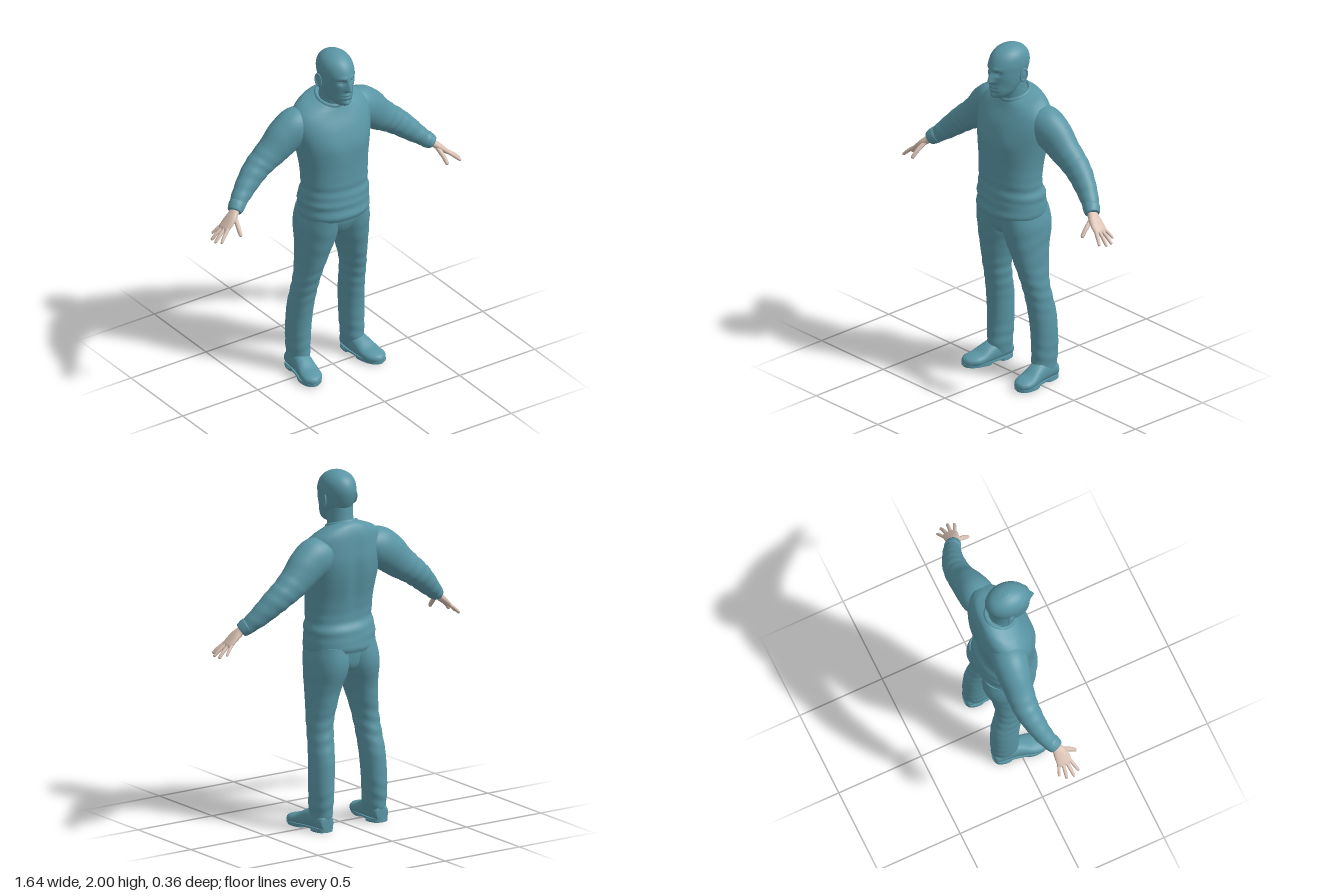
import * as THREE from 'three';

const V = (x, y, z) => new THREE.Vector3(x, y, z);
const Y = V(0, 1, 0), Z = V(0, 0, 1);
const bump = (d, w) => Math.exp(-(d * d) / (w * w));

// Smooth skin over elliptical rings; rows are [x, y, z, half width, half depth].
function loft(rows, { segs = 40, sub = 6, axis = null, up = Z, square = 1, fold = null } = {}) {
  const path = new THREE.CatmullRomCurve3(rows.map(r => V(r[0], r[1], r[2])), false, 'catmullrom');
  const size = new THREE.CatmullRomCurve3(rows.map(r => V(r[3], r[4], 0)), false, 'catmullrom');
  const n = (rows.length - 1) * sub, pos = [], idx = [];
  const soft = c => Math.sign(c) * Math.abs(c) ** square;
  for (let i = 0; i <= n; i++) {
    const c = path.getPoint(i / n), s = size.getPoint(i / n);
    const t = axis || path.getTangent(i / n);
    const v = up.clone().addScaledVector(t, -up.dot(t)).normalize();
    const u = t.clone().cross(v);
    for (let j = 0; j < segs; j++) {
      const a = j / segs * Math.PI * 2, k = fold ? fold(c, a) : 1;
      const p = c.clone().addScaledVector(u, soft(Math.cos(a)) * s.x * k)
        .addScaledVector(v, soft(Math.sin(a)) * s.y * k);
      pos.push(p.x, p.y, p.z);
    }
  }
  for (let i = 0; i < n; i++) for (let j = 0; j < segs; j++) {
    const a = i * segs + j, b = i * segs + (j + 1) % segs;
    idx.push(a, a + segs, b, a + segs, b + segs, b);
  }
  // end caps with their own corners, so the rims stay crisp
  for (const [row, top] of [[0, false], [n, true]]) {
    const c = path.getPoint(row / n), start = pos.length / 3;
    pos.push(c.x, c.y, c.z, ...pos.slice(row * segs * 3, (row + 1) * segs * 3));
    for (let j = 0; j < segs; j++) {
      const a = start + 1 + j, b = start + 1 + (j + 1) % segs;
      idx.push(start, top ? b : a, top ? a : b);
    }
  }
  const g = new THREE.BufferGeometry();
  g.setAttribute('position', new THREE.Float32BufferAttribute(pos, 3));
  g.setIndex(idx);
  g.computeVertexNormals();
  return g;
}

// Row from its extents: height, inner x, outer x, back z, front z.
const slab = ([y, x0, x1, z0, z1]) => [(x0 + x1) / 2, y, (z0 + z1) / 2, (x1 - x0) / 2, (z1 - z0) / 2];
const centred = ([y, w, z0, z1]) => slab([y, -w, w, z0, z1]);

// Move every vertex by a rule.
function sculpt(g, rule) {
  const p = g.attributes.position, v = V();
  for (let i = 0; i < p.count; i++) {
    rule(v.fromBufferAttribute(p, i));
    p.setXYZ(i, v.x, v.y, v.z);
  }
  g.computeVertexNormals();
  return g;
}

function mirrored(g) {
  const m = g.clone().scale(-1, 1, 1);
  if (!m.index) m.setIndex([...Array(m.attributes.position.count).keys()]);
  const a = m.index.array;
  for (let i = 0; i < a.length; i += 3) [a[i], a[i + 1]] = [a[i + 1], a[i]];
  return m;
}

export function createModel() {
  const model = new THREE.Group();
  const teal = new THREE.MeshStandardMaterial({ color: 0x5a96a5 });
  teal.name = 'teal';
  const skin = new THREE.MeshStandardMaterial({ color: 0xd9c1b3 });
  skin.name = 'skin';
  const add = (name, g, mat = teal) => {
    const m = new THREE.Mesh(g, mat);
    m.name = name;
    model.add(m);
  };
  const pair = (name, g, mat) => {
    add(name + 'Left', g, mat);
    add(name + 'Right', mirrored(g), mat);
  };

  // head: skull with brow, sockets, nose, lips and chin pushed out of the face
  const head = loft([
    [1.7, 0.022, 0.05, 0.115], [1.712, 0.042, 0.015, 0.14], [1.74, 0.063, -0.02, 0.148], [1.78, 0.078, -0.06, 0.15],
    [1.82, 0.087, -0.085, 0.152], [1.86, 0.091, -0.1, 0.155], [1.9, 0.094, -0.106, 0.152],
    [1.94, 0.088, -0.096, 0.134], [1.97, 0.07, -0.073, 0.106], [1.99, 0.042, -0.037, 0.067],
    [1.999, 0.012, 0, 0.03],
  ].map(centred), { segs: 112, sub: 8, axis: Y });
  add('head', sculpt(head, v => {
    if (v.z < 0.06) return;
    const ax = Math.abs(v.x), y = v.y;
    const ridge = THREE.MathUtils.clamp((1.885 - y) / 0.07, 0, 1) * THREE.MathUtils.smoothstep(y, 1.796, 1.812);
    v.z += 0.032 * ridge * bump(v.x, 0.011 + 0.007 * ridge)
      + 0.006 * bump(ax - 0.028, 0.026) * bump(y - 1.886, 0.011)
      - 0.015 * bump(ax - 0.034, 0.017) * bump(y - 1.862, 0.014)
      + 0.007 * bump(v.x, 0.026) * (bump(y - 1.777, 0.008) + bump(y - 1.76, 0.008))
      - 0.005 * bump(v.x, 0.03) * bump(y - 1.769, 0.004)
      - 0.004 * bump(v.x, 0.03) * bump(y - 1.745, 0.008)
      + 0.006 * bump(v.x, 0.022) * bump(y - 1.722, 0.014)
      - 0.005 * bump(ax - 0.06, 0.02) * bump(y - 1.79, 0.03);
  }));
  pair('eye', new THREE.SphereGeometry(0.013, 20, 14).translate(0.034, 1.862, 0.122));
  pair('ear', new THREE.SphereGeometry(1, 20, 16).scale(0.008, 0.036, 0.02)
    .rotateY(-0.35).rotateX(-0.15).translate(0.094, 1.835, 0.005));
  pair('earRim', new THREE.TorusGeometry(0.02, 0.005, 8, 28).rotateY(Math.PI / 2).scale(1, 1.65, 0.95)
    .rotateY(-0.4).rotateX(-0.15).translate(0.098, 1.837, 0.002));
  add('neck', loft([
    [1.6, 0.085, -0.11, 0.06], [1.66, 0.076, -0.1, 0.063], [1.71, 0.072, -0.088, 0.068],
    [1.76, 0.072, -0.08, 0.075], [1.82, 0.07, -0.075, 0.06],
  ].map(centred), { axis: Y }));

  // sweater body, with gathered folds above the hem and a neckline sloping forward
  const body = loft([
    [0.997, 0.2, -0.163, 0.168], [1.025, 0.207, -0.171, 0.177], [1.07, 0.204, -0.164, 0.168],
    [1.11, 0.206, -0.16, 0.168], [1.17, 0.195, -0.136, 0.158], [1.22, 0.196, -0.134, 0.158],
    [1.3, 0.2, -0.145, 0.157], [1.38, 0.211, -0.162, 0.158], [1.45, 0.224, -0.173, 0.153],
    [1.52, 0.238, -0.176, 0.135], [1.58, 0.24, -0.17, 0.112], [1.63, 0.222, -0.16, 0.092],
    [1.665, 0.175, -0.143, 0.077], [1.685, 0.125, -0.125, 0.068], [1.7, 0.084, -0.105, 0.06],
  ].map(centred), {
    segs: 80, axis: Y, square: 0.92,
    fold: (c, a) => 1 + 0.014 * bump(c.y - 1.13, 0.08) * Math.sin(c.y * 95 + 1.6 * Math.cos(a + 0.6)),
  });
  add('sweaterBody', sculpt(body, v => {
    if (v.z < 0) v.z += 0.014 * bump(v.x, 0.035) * bump(v.y - 1.42, 0.16);
    else v.z += 0.006 * bump(Math.abs(v.x) - 0.09, 0.06) * bump(v.y - 1.46, 0.07);
    v.y -= v.z * 0.34 * THREE.MathUtils.smoothstep(v.y, 1.55, 1.7);
  }));
  add('collar', new THREE.TorusGeometry(0.082, 0.011, 12, 56).rotateX(Math.PI / 2)
    .scale(1, 1.4, 1.04).rotateX(0.33).translate(0, 1.7, -0.022));

  // sleeves with elbow creases, and cuffs
  pair('sleeve', loft([
    [0.09, 1.59, -0.05, 0.055, 0.075], [0.19, 1.557, -0.06, 0.11, 0.1], [0.27, 1.51, -0.068, 0.11, 0.094],
    [0.345, 1.445, -0.073, 0.094, 0.082], [0.42, 1.39, -0.075, 0.08, 0.074], [0.48, 1.345, -0.068, 0.073, 0.068],
    [0.56, 1.275, -0.045, 0.06, 0.056], [0.62, 1.222, -0.018, 0.046, 0.047], [0.645, 1.203, -0.003, 0.04, 0.042],
  ], {
    segs: 48, sub: 8,
    fold: (c, a) => 1 + 0.02 * (bump(c.x - 0.46, 0.09) + bump(c.x - 0.6, 0.05)) * Math.sin(c.x * 120 + 2 * Math.cos(a)),
  }));
  pair('cuff', loft([
    [0.622, 1.221, -0.016, 0.043, 0.045], [0.63, 1.215, -0.011, 0.047, 0.048],
    [0.652, 1.197, 0.002, 0.041, 0.044], [0.659, 1.191, 0.006, 0.036, 0.04],
  ]));

  // hands: palm, four fingers and a thumb
  pair('palm', loft([
    [0.635, 1.21, -0.005, 0.022, 0.029], [0.665, 1.185, 0.008, 0.021, 0.031], [0.69, 1.163, 0.016, 0.02, 0.039],
    [0.72, 1.136, 0.02, 0.016, 0.043], [0.742, 1.117, 0.021, 0.012, 0.041], [0.751, 1.109, 0.021, 0.005, 0.034],
  ], { segs: 28, square: 0.9 }), skin);
  const digit = (a, b, c, r) => loft([
    [...a, r, r], [...b, r * 1.02, r * 1.02], [...b.map((k, i) => k + (c[i] - k) * 0.75), r * 0.85, r * 0.85],
    [...b.map((k, i) => k + (c[i] - k) * 0.94), r * 0.6, r * 0.6], [...c, r * 0.12, r * 0.12],
  ], { segs: 14, sub: 4 });
  const fingers = [
    ['indexFinger', [0.728, 1.13, 0.05], [0.768, 1.096, 0.067], [0.798, 1.066, 0.081]],
    ['middleFinger', [0.735, 1.124, 0.031], [0.778, 1.094, 0.038], [0.816, 1.058, 0.044]],
    ['ringFinger', [0.735, 1.122, 0.01], [0.775, 1.091, 0.006], [0.811, 1.056, 0.001]],
    ['littleFinger', [0.727, 1.126, -0.011], [0.757, 1.1, -0.022], [0.784, 1.072, -0.034]],
  ];
  fingers.forEach(([name, a, b, c], i) => pair(name, digit(a, b, c, i === 3 ? 0.0085 : 0.01), skin));
  pair('thumb', digit([0.673, 1.168, 0.03], [0.683, 1.13, 0.078], [0.689, 1.09, 0.114], 0.0125), skin);

  // trousers: seat joining two creased legs
  add('trouserSeat', loft([
    [0.865, 0.03, -0.06, 0.06], [0.885, 0.09, -0.115, 0.1], [0.92, 0.15, -0.14, 0.124],
    [0.97, 0.192, -0.148, 0.142], [1.03, 0.19, -0.15, 0.148],
  ].map(centred), { segs: 56, axis: Y }));
  pair('trouserLeg', loft([
    [0.05, 0.128, 0.232, -0.143, -0.012], [0.1, 0.121, 0.238, -0.153, 0.002], [0.2, 0.115, 0.242, -0.16, 0.002],
    [0.3, 0.108, 0.242, -0.157, 0.004], [0.4, 0.102, 0.237, -0.152, 0.015], [0.5, 0.093, 0.23, -0.13, 0.031],
    [0.6, 0.083, 0.222, -0.115, 0.056], [0.7, 0.06, 0.215, -0.124, 0.083], [0.8, 0.029, 0.213, -0.138, 0.109],
    [0.87, 0.003, 0.213, -0.16, 0.126], [0.95, -0.012, 0.211, -0.168, 0.14], [1.03, -0.01, 0.196, -0.155, 0.146],
  ].map(slab), {
    segs: 56, sub: 10, axis: Y, square: 0.95,
    fold: (c, a) => 1 + 0.022 * (bump(c.y - 0.55, 0.13) + bump(c.y - 0.14, 0.09)) * Math.sin(c.y * 85 + 2.2 * Math.cos(a + 0.5))
      + 0.008 * bump(c.y - 0.8, 0.15) * Math.sin(c.y * 60 + 3 * Math.sin(a)),
  }));

  // shoes: upper, welt, heel and forefoot tread
  pair('shoeUpper', sculpt(loft([
    [0.184, 0.045, -0.15, 0.022, 0.025], [0.184, 0.05, -0.142, 0.043, 0.042], [0.185, 0.06, -0.09, 0.052, 0.056],
    [0.188, 0.06, -0.03, 0.054, 0.062], [0.195, 0.05, 0.02, 0.058, 0.052], [0.203, 0.038, 0.07, 0.063, 0.036],
    [0.21, 0.033, 0.115, 0.059, 0.031], [0.214, 0.03, 0.148, 0.035, 0.022], [0.215, 0.028, 0.16, 0.01, 0.008],
  ], { segs: 36, axis: Z, up: Y, square: 0.9 }), v => { v.y = Math.max(v.y, 0.014); }));
  const plate = (points, y0, y1) => {
    const shape = new THREE.Shape();
    shape.setFromPoints(new THREE.CatmullRomCurve3(points.map(p => V(p[0], p[1], 0)), true).getPoints(48).slice(0, -1));
    return new THREE.ExtrudeGeometry(shape, { depth: y1 - y0, bevelEnabled: false }).rotateX(Math.PI / 2).translate(0, y1, 0);
  };
  pair('shoeWelt', plate([[0.184, -0.154], [0.226, -0.138], [0.238, -0.06], [0.252, 0.01], [0.271, 0.08],
    [0.256, 0.142], [0.215, 0.163], [0.172, 0.14], [0.142, 0.07], [0.136, 0], [0.132, -0.06], [0.142, -0.138]], 0.012, 0.022));
  pair('shoeHeel', plate([[0.184, -0.153], [0.226, -0.137], [0.236, -0.06], [0.186, -0.05], [0.133, -0.06], [0.142, -0.137]], 0, 0.014));
  pair('shoeTread', plate([[0.195, 0.005], [0.25, 0.02], [0.268, 0.08], [0.253, 0.135], [0.214, 0.155],
    [0.174, 0.133], [0.145, 0.07], [0.141, 0.02]], 0.002, 0.014));

  return model;
}
